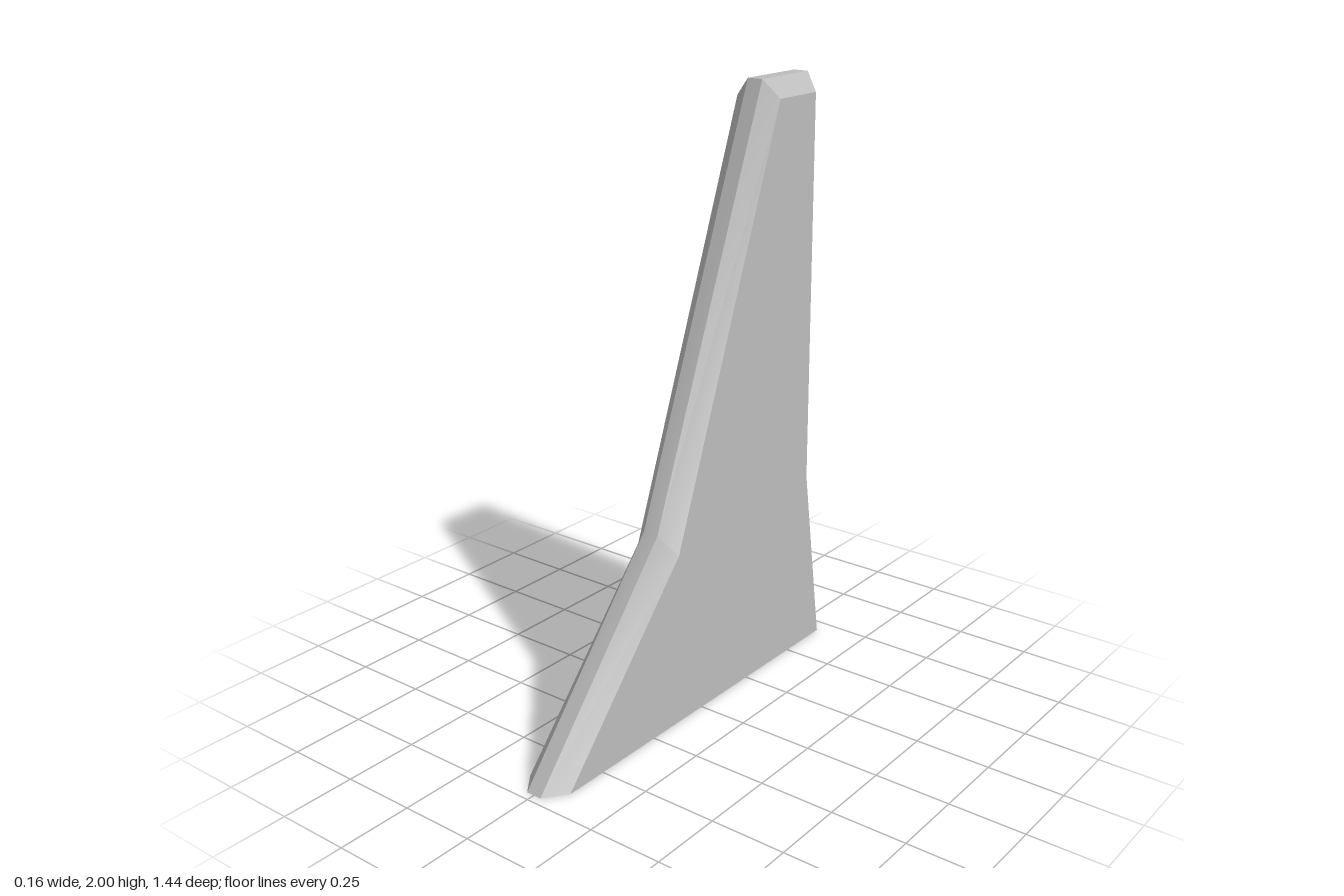
import * as THREE from 'three';
import { toCreasedNormals } from 'three/addons/utils/BufferGeometryUtils.js';

// Side outlines as [z, y]: up the front edge, across the top, down the back edge
const OUTER = [[0.722, 0], [0.16, 0.655], [-0.365, 2], [-0.617, 2], [-0.622, 0.63], [-0.722, 0]];
const INNER = [[0.65, 0], [0.122, 0.588], [-0.387, 1.942], [-0.583, 1.942], [-0.592, 0.63], [-0.69, 0]];

// Cross-sections from right to left: the flat sides are inset to form the chamfer
const SECTIONS = [[-0.082, INNER], [-0.027, OUTER], [0.027, OUTER], [0.082, INNER]];

function finGeometry() {
  const positions = [];
  const rings = SECTIONS.map(([x, outline]) => outline.map(([z, y]) => [x, y, z]));
  const quad = (a, b, c, d) => [a, b, c, a, c, d].forEach((p) => positions.push(...p));

  // Rim: chamfers and the narrow middle strip, including the flat base
  for (let r = 0; r < rings.length - 1; r++) {
    const a = rings[r], b = rings[r + 1];
    for (let i = 0; i < a.length; i++) {
      const j = (i + 1) % a.length;
      quad(a[i], b[i], b[j], a[j]);
    }
  }

  // Flat sides, each a lower and an upper panel
  const right = rings[0], left = rings[3];
  for (let i = 0; i < 2; i++) {
    quad(right[i], right[i + 1], right[4 - i], right[5 - i]);
    quad(left[5 - i], left[4 - i], left[i + 1], left[i]);
  }

  const geometry = new THREE.BufferGeometry();
  geometry.setAttribute('position', new THREE.Float32BufferAttribute(positions, 3));
  return toCreasedNormals(geometry, THREE.MathUtils.degToRad(33));
}

export function createModel() {
  const grey = new THREE.MeshStandardMaterial({ color: 0xbcbcbc });
  grey.name = 'light grey';

  const fin = new THREE.Mesh(finGeometry(), grey);
  fin.name = 'buttress';

  const model = new THREE.Group();
  model.name = 'chamferedButtress';
  model.add(fin);
  return model;
}
